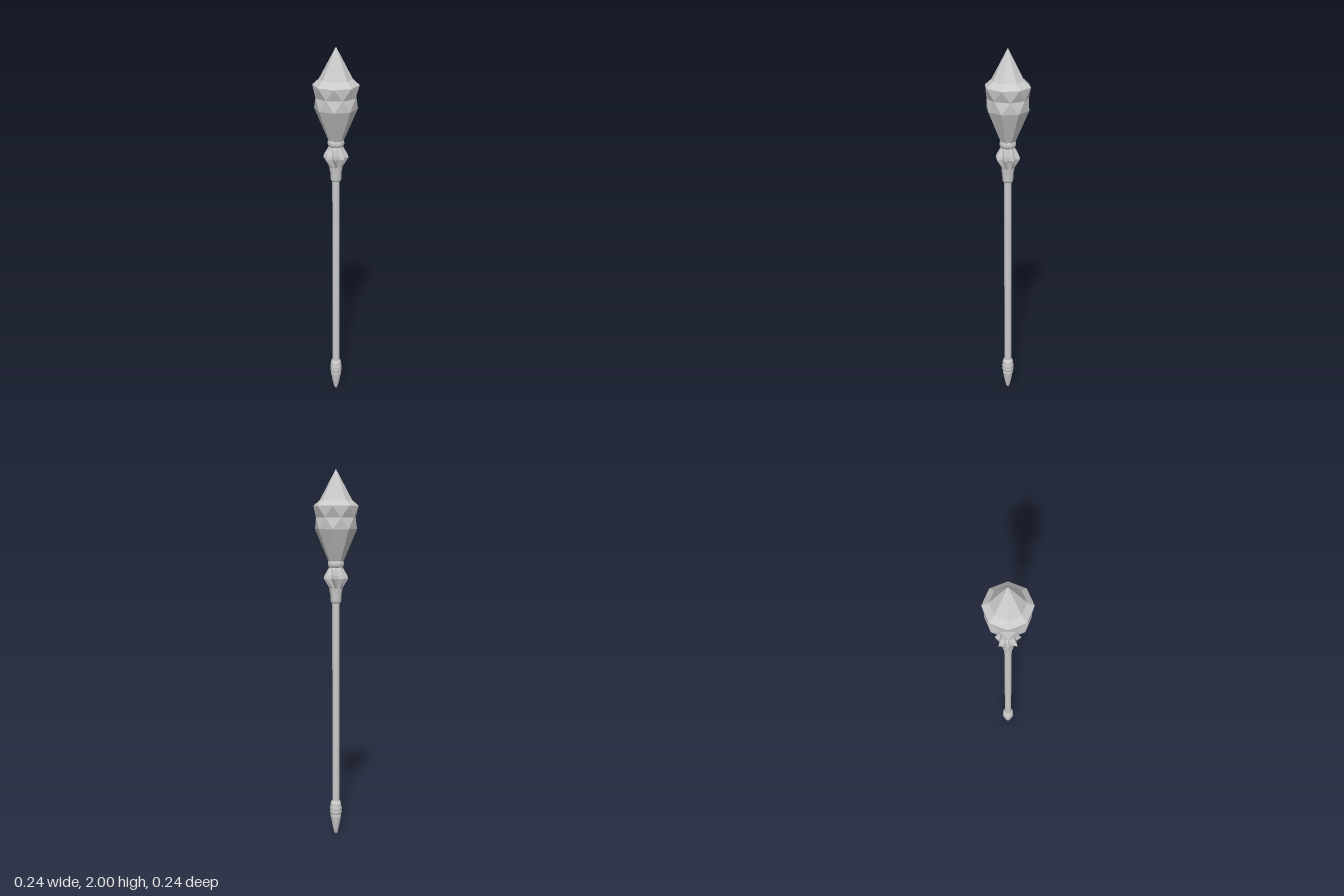
import * as THREE from 'three';
import { mergeVertices } from 'three/addons/utils/BufferGeometryUtils.js';

const flat = new THREE.MeshStandardMaterial({ color: 0xcccccc, flatShading: true });
const smooth = new THREE.MeshStandardMaterial({ color: 0xcccccc });

// Faceted surface through rings [y, radius, twist in half steps], bottom to top.
function facetedLoft(rings, sides) {
  const pos = [];
  const pt = ([y, r, twist], i) => {
    const a = ((i + twist / 2) / sides) * Math.PI * 2;
    return [r * Math.sin(a), y, r * Math.cos(a)];
  };
  for (let k = 0; k < rings.length - 1; k++) {
    const lo = rings[k], hi = rings[k + 1];
    for (let i = 0; i < sides; i++) {
      const a = pt(lo, i), b = pt(lo, i + 1), c = pt(hi, i), d = pt(hi, i + 1);
      if (lo[2] > hi[2]) pos.push(...a, ...b, ...d, ...a, ...d, ...c);
      else pos.push(...a, ...b, ...c, ...b, ...d, ...c);
    }
  }
  const g = new THREE.BufferGeometry();
  g.setAttribute('position', new THREE.Float32BufferAttribute(pos, 3));
  g.computeVertexNormals();
  return g;
}

// Turned part from [radius, y] points, bottom to top.
function turned(profile, sides) {
  return new THREE.LatheGeometry(profile.map(([r, y]) => new THREE.Vector2(r, y)), sides);
}

export function createModel() {
  const group = new THREE.Group();
  const add = (name, geometry, material) => {
    const mesh = new THREE.Mesh(geometry, material);
    mesh.name = name;
    group.add(mesh);
  };

  // Cut-gem head: the waist ring is turned half a step, making a zigzag of triangles
  add('gemHead', facetedLoft([
    [1.51, 0, 0], [1.51, 0.036, 0], [1.69, 0.112, 0], [1.75, 0.108, 1],
    [1.81, 0.12, 0], [1.84, 0.086, 0], [2, 0, 0],
  ], 8), flat);

  // Ring under the head
  add('neckRing', turned([
    [0.03, 1.485], [0.038, 1.49], [0.043, 1.5], [0.043, 1.515], [0.038, 1.525], [0.03, 1.53],
  ], 16), smooth);

  // Bulb with eight ridges: every second column is drawn inward around the middle
  const bulb = turned([
    [0.03, 1.35], [0.036, 1.38], [0.066, 1.43], [0.062, 1.445], [0.036, 1.49],
  ], 16);
  const p = bulb.attributes.position;
  for (let i = 0; i < p.count; i++) {
    const column = Math.round(Math.atan2(p.getX(i), p.getZ(i)) / (Math.PI / 8));
    const r = Math.hypot(p.getX(i), p.getZ(i));
    if (column % 2 !== 0) {
      const s = (0.034 + (r - 0.034) * 0.35) / r;
      p.setX(i, p.getX(i) * s);
      p.setZ(i, p.getZ(i) * s);
    }
  }
  bulb.deleteAttribute('normal');
  bulb.deleteAttribute('uv');
  add('ridgedBulb', mergeVertices(bulb).toNonIndexed(), flat);

  // Socket holding the shaft
  add('socket', turned([
    [0, 1.3], [0.026, 1.3], [0.029, 1.31], [0.03, 1.35], [0.035, 1.39],
  ], 16), smooth);

  // Shaft
  const shaft = new THREE.CylinderGeometry(0.02, 0.02, 1.16, 12);
  shaft.translate(0, 0.74, 0);
  add('shaft', shaft, smooth);

  // Banded ferrule
  const bands = [[0.028, 0.095]];
  for (let i = 0; i < 4; i++) {
    const y = 0.1 + i * 0.021;
    const r = [0.03, 0.033, 0.033, 0.03][i];
    bands.push([r, y + 0.003], [r, y + 0.016], [r - 0.003, y + 0.019]);
  }
  bands.push([0.026, 0.19], [0.018, 0.196]);
  add('ferrule', turned(bands, 16), smooth);

  // Tapered foot
  add('footTip', turned([
    [0, 0], [0.006, 0.002], [0.011, 0.012], [0.02, 0.05], [0.026, 0.085], [0.028, 0.1],
  ], 16), smooth);

  return group;
}
